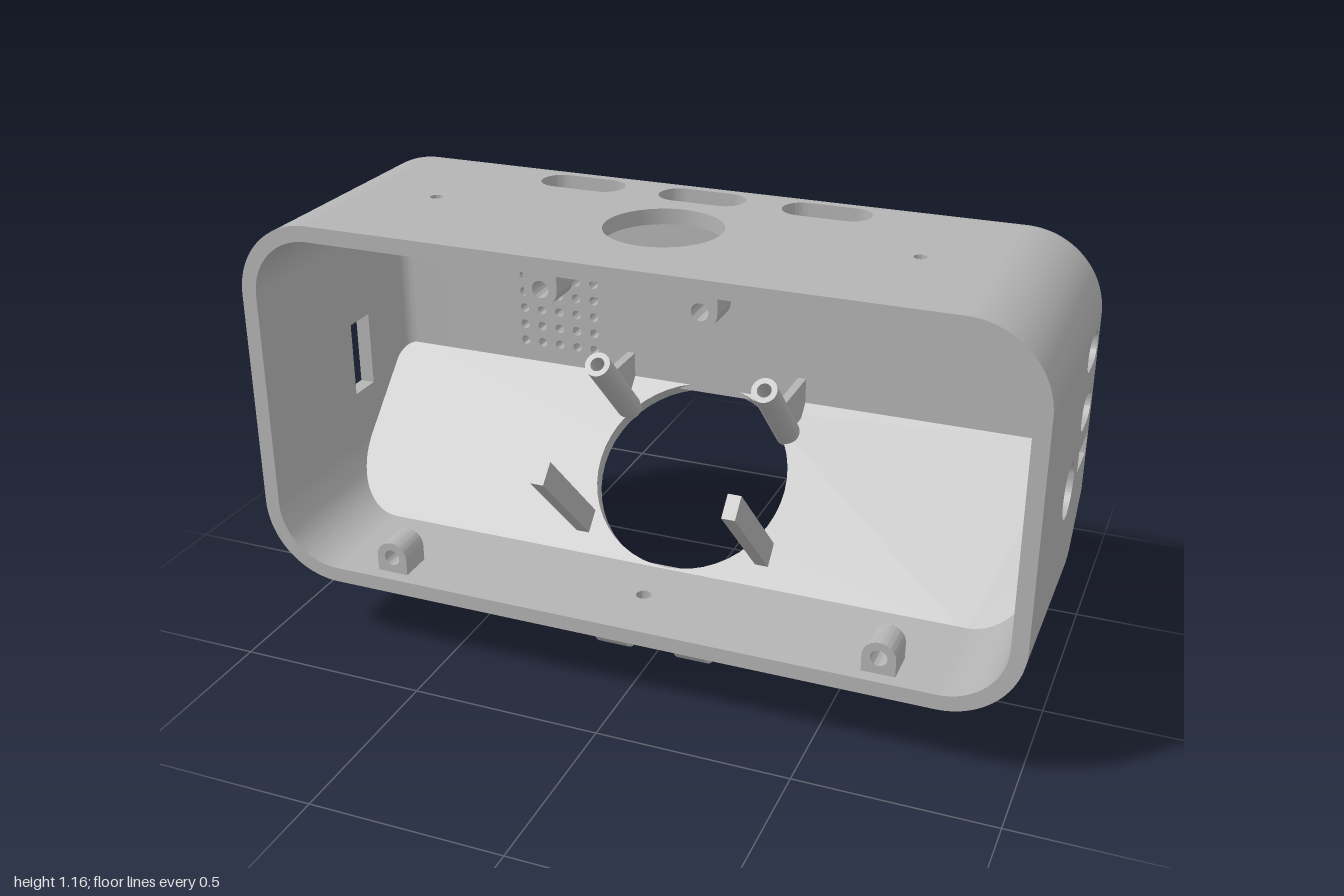
import * as THREE from 'three';
import { toCreasedNormals } from 'three/addons/utils/BufferGeometryUtils.js';

const W = 1, Y0 = 0.185, Y1 = 1.16, ZF = 0.36, ZB = -0.36; // outer shell
const R = 0.2, T = 0.04, F = 0.085;                        // corner radius, wall, rear fillet
const CUT = 0.215;                                         // sloped panel lies on y + z = CUT
const CX = W - R, CT = Y1 - R, CB = Y0 + R, ZA = ZB + F;
const S = Math.SQRT1_2;

const V = (x, y, z) => new THREE.Vector3(x, y, z);
const AXES = {
  side: [V(0, 0, -1), V(0, 1, 0), V(1, 0, 0)],   // drawn in (-z, y), thick along x
  flat: [V(1, 0, 0), V(0, 0, -1), V(0, 1, 0)],   // drawn in (x, -z), thick along y
  back: [V(1, 0, 0), V(0, 1, 0), V(0, 0, 1)],    // drawn in (x, y), thick along z
  slope: [V(1, 0, 0), V(0, S, -S), V(0, S, S)],  // drawn up the sloped panel
};

const poly = (pts) => new THREE.Shape(pts.map(([a, b]) => new THREE.Vector2(a, b)));
const rect = (a0, b0, a1, b1) => poly([[a0, b0], [a1, b0], [a1, b1], [a0, b1]]);
const circle = (a, b, r) => new THREE.Path().absarc(a, b, r, 0, Math.PI * 2, true);
const slot = (a, b, half, r) => new THREE.Path()
  .absarc(a + half - r, b, r, -Math.PI / 2, Math.PI / 2, false)
  .absarc(a - half + r, b, r, Math.PI / 2, Math.PI * 1.5, false);

// Rear fillet arc as [radius from corner centre, z], from the back face outwards
function filletArc(r, n = 12) {
  return Array.from({ length: n + 1 }, (_, i) => {
    const t = (i / n) * Math.PI / 2;
    return [R - F + r * Math.sin(t), ZA - r * Math.cos(t)];
  });
}

export function createModel() {
  const group = new THREE.Group();
  const grey = new THREE.MeshStandardMaterial({ color: 0xb4b4b4, side: THREE.DoubleSide });
  grey.name = 'grey plastic';

  const add = (name, geo) => {
    const mesh = new THREE.Mesh(toCreasedNormals(geo, 0.55), grey);
    mesh.name = name;
    group.add(mesh);
    return mesh;
  };
  const extrude = (shape, depth, axes, origin, holes = []) => {
    shape.holes.push(...holes);
    const geo = new THREE.ExtrudeGeometry(shape, { depth, bevelEnabled: false, curveSegments: 24 });
    return geo.applyMatrix4(new THREE.Matrix4().makeBasis(...axes).setPosition(origin));
  };
  const eachVertex = (geo, rule) => {
    const p = geo.attributes.position;
    for (let i = 0; i < p.count; i++) rule(p, i);
    return geo;
  };

  // Top wall with three slots, a round opening and two pin holes
  add('topWall', extrude(rect(-CX, -ZF, CX, -ZA), T, AXES.flat, V(0, Y1 - T, 0), [
    ...[-0.327, 0, 0.327].map((x) => slot(x, 0.21, 0.114, 0.053)),
    circle(0, -0.05, 0.147), circle(-0.622, -0.033, 0.016), circle(0.622, -0.033, 0.016),
  ]));

  // Bottom wall
  add('bottomWall', extrude(rect(-CX, -ZF, CX, -(CUT - Y0)), T, AXES.flat, V(0, Y0, 0),
    [circle(0, -0.19, 0.02)]));

  // Side walls, cut off by the sloped panel
  const sideShape = () => poly([[-ZF, CB], [CB - CUT, CB], [-ZA, CUT - ZA], [-ZA, CT], [-ZF, CT]]);
  add('leftWall', extrude(sideShape(), T, AXES.side, V(W - T, 0, 0), [
    slot(0.193, 0.9, 0.07, 0.042), slot(0.193, 0.748, 0.07, 0.042),
    circle(0.022, 0.61, 0.07), rect(0.147, 0.6, 0.267, 0.655),
  ]));
  add('rightWall', extrude(sideShape(), T, AXES.side, V(-W, 0, 0), [rect(0.048, 0.53, 0.14, 0.735)]));

  // Back wall with four light holes and a sound grille
  const backHoles = [0.345, 0.475, 0.605, 0.735].map((x) => circle(x, 1.043, 0.03));
  for (let c = 0; c < 5; c++)
    for (let r = 0; r < 8; r++) backHoles.push(circle(-0.565 + c * 0.0525, 0.65 + r * 0.048, 0.0125));
  add('backWall', extrude(rect(-CX, CUT - ZB, CX, Y1 - F), T, AXES.back, V(0, 0, ZB), backHoles));

  // Sloped panel, outlined where the plane meets the rounded shell
  const right = [];
  for (let i = 0; i <= 60; i++) {
    const y = Y0 + (CUT - ZB - Y0) * (i / 60), z = CUT - y;
    let w = W;
    if (y < CB) w = CX + Math.sqrt(Math.max(0, R * R - (CB - y) ** 2));
    if (z < ZA) w = W - F + Math.sqrt(Math.max(0, F * F - (z - ZA) ** 2));
    right.push([w, (y - Y0) / S]);
  }
  const left = right.map(([x, v]) => [-x, v]).reverse();
  add('slopedPanel', extrude(poly([...right, ...left]), T, AXES.slope, V(0, Y0, CUT - Y0),
    [circle(0, 0.283, 0.262)]));

  // Rounded rear edges
  const outer = filletArc(F), inner = filletArc(F - T).reverse();
  add('topRearEdge', extrude(poly([...outer, ...inner].map(([r, z]) => [-z, CT + r])),
    2 * CX, AXES.side, V(-CX, 0, 0)));
  const full = [[0, ZB], ...outer, ...inner, [0, ZB + T]];
  for (const s of [1, -1]) {
    const geo = extrude(poly(full.map(([r, z]) => [s * (CX + r), -z])), CT, AXES.flat, V(0, 0, 0));
    add('sideRearEdge', eachVertex(geo, (p, i) => p.setY(i, Math.max(p.getY(i), CUT - p.getZ(i)))));
  }

  // Shell corners turned about their centre lines
  const corner = (pts, phi, x, y) => new THREE.LatheGeometry(
    pts.map(([r, z]) => new THREE.Vector2(r, z)), 24, phi, Math.PI / 2)
    .rotateX(Math.PI / 2).translate(x, y, 0);
  const topProfile = [[0, ZB], ...outer, [R, ZF], [R - T, ZF], ...inner, [0, ZB + T]];
  const lowProfile = [[R, ZB], [R, ZF], [R - T, ZF], [R - T, ZB]];
  for (const s of [1, -1]) {
    add('topCorner', corner(topProfile, s > 0 ? Math.PI / 2 : Math.PI, s * CX, CT));
    const low = corner(lowProfile, s > 0 ? 0 : -Math.PI / 2, s * CX, CB);
    add('bottomCorner', eachVertex(low, (p, i) => p.setZ(i, Math.max(p.getZ(i), CUT - p.getY(i)))));
  }

  // Screw lugs inside the front rim: dir +1 stands on the floor, -1 hangs from the top
  const lug = (x, y, base, dir) => {
    const r = 0.042, shape = new THREE.Shape();
    shape.moveTo(x - r, base);
    shape.lineTo(x - r, y);
    shape.absarc(x, y, r, Math.PI, 0, dir > 0);
    shape.lineTo(x + r, base);
    return extrude(shape, 0.09, AXES.back, V(0, 0, 0.235), [circle(x, y, 0.021)]);
  };

  for (const s of [1, -1]) {
    add('topLug', lug(s * 0.197, 1.07, Y1 - T + 0.005, -1));
    add('bottomLug', lug(s * 0.652, 0.268, Y0 + T - 0.005, 1));

    // Hollow screw post, standing square on the sloped panel
    const post = new THREE.LatheGeometry(
      [[0, 0], [0.034, 0], [0.034, 0.3], [0.019, 0.3], [0.019, 0.18], [0, 0.18]]
        .map(([r, h]) => new THREE.Vector2(r, h)), 32);
    add('screwPost', post.rotateX(Math.PI / 4).translate(s * 0.228, 0.73 - 0.3 * S, -0.055 - 0.3 * S));

    // Rib tying the post to the back wall
    add('postRib', extrude(poly([[0.33, 0.56], [0.33, 0.66], [0.15, 0.66], [0.23, 0.56]]),
      0.022, AXES.side, V(s * 0.245 - 0.011, 0, 0)));

    // Holding arm
    add('holdingArm', new THREE.BoxGeometry(0.035, 0.38, 0.064)
      .rotateX(Math.PI / 4).translate(s * 0.2525, 0.418, 0.113));

    // Hinge ear under the case
    const ear = new THREE.Shape();
    ear.moveTo(-0.205, Y0 + 0.01);
    ear.lineTo(-0.17, 0.095);
    ear.absarc(-0.078, 0.095, 0.0925, Math.PI, Math.PI * 2 + 0.98, false);
    ear.lineTo(-0.035, Y0 + 0.01);
    add('hingeEar', extrude(ear, 0.085, AXES.side, V(s * 0.111 - 0.0425, 0, 0),
      [circle(-0.078, 0.095, 0.036)]));
  }
  return group;
}
